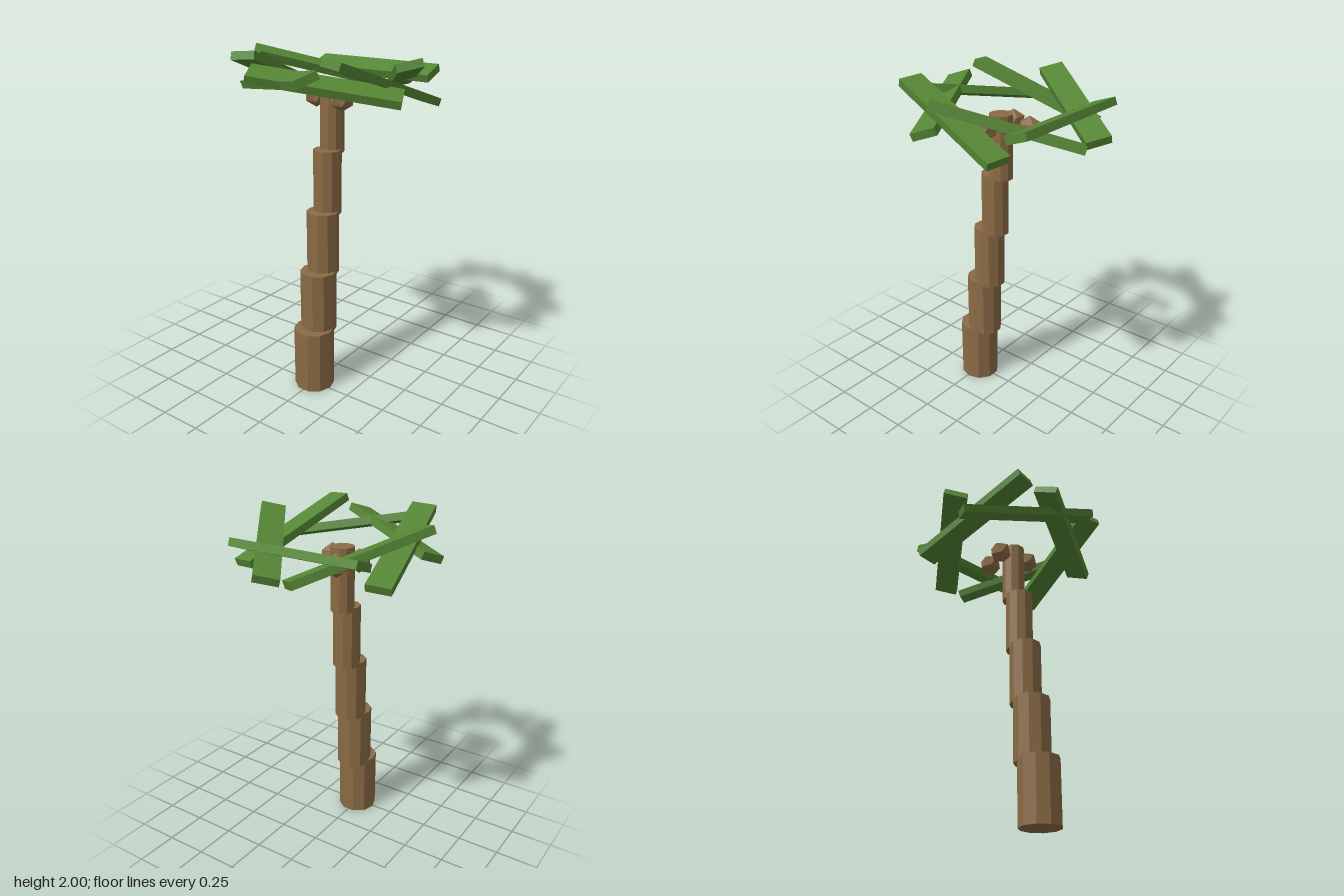
import * as THREE from 'three';

const BARK = new THREE.MeshStandardMaterial({ color: 0x8b6b45, flatShading: true });
const LEAF = new THREE.MeshStandardMaterial({ color: 0x558635, flatShading: true });

function part(parent, name, geometry, material, x, y, z) {
  const mesh = new THREE.Mesh(geometry, material);
  mesh.name = name;
  mesh.position.set(x, y, z);
  parent.add(mesh);
  return mesh;
}

export function createModel() {
  const model = new THREE.Group();
  model.name = 'palmTree';

  // Leaning trunk: overlapping ten-sided drums, each thinner and shifted sideways
  const trunk = new THREE.Group();
  trunk.name = 'trunk';
  const height = 0.376;
  for (let i = 0; i < 5; i++) {
    const r = 0.118 - 0.0123 * i;
    part(trunk, 'trunkSegment', new THREE.CylinderGeometry(r, r, height, 10), BARK,
      -0.24 + 0.0475 * i, height / 2 + 0.355 * i, 0);
  }

  // Ring of seven plank leaves, laid along the ring with a pitch and roll that vary around it
  const crown = new THREE.Group();
  crown.name = 'crown';
  const leafGeometry = new THREE.BoxGeometry(0.14, 0.045, 0.8);
  const tilt = 0.35;
  for (let i = 0; i < 7; i++) {
    const a = (i / 7) * Math.PI * 2;
    const leaf = part(crown, 'leaf', leafGeometry, LEAF,
      0.368 * Math.cos(a), 1.842, 0.368 * Math.sin(a));
    leaf.rotation.set(-tilt * Math.sin(a), -a, tilt * Math.cos(a), 'YZX');
  }

  // Coconuts under the crown, each standing on a corner
  const nuts = new THREE.Group();
  nuts.name = 'coconuts';
  const nutGeometry = new THREE.IcosahedronGeometry(0.069, 0).rotateZ(0.5536);
  for (const [x, z] of [[-0.08, 0.088], [-0.05, -0.11], [0.102, -0.06]]) {
    part(nuts, 'coconut', nutGeometry, BARK, x, 1.73, z);
  }

  model.add(trunk, crown, nuts);
  return model;
}
